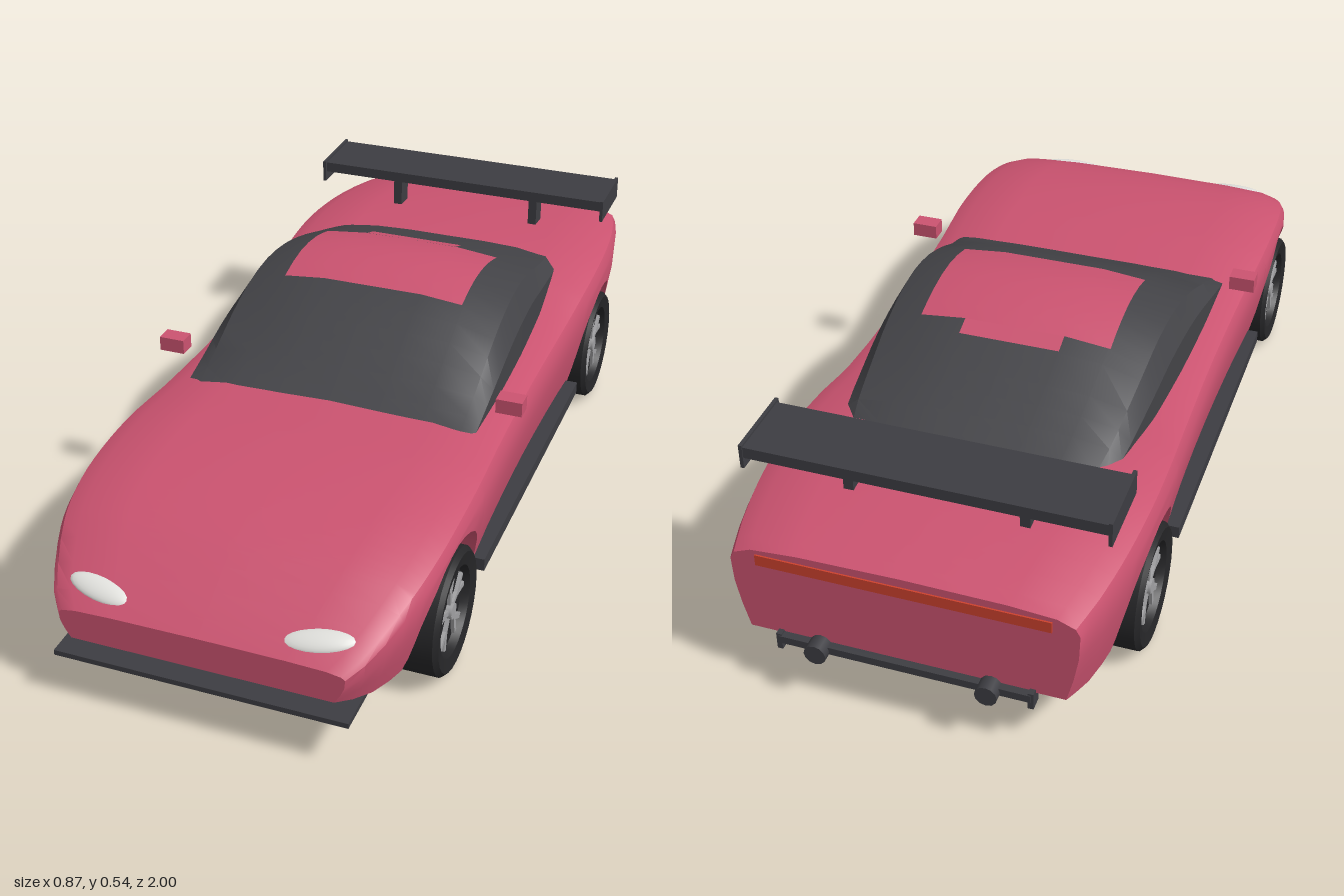
import * as THREE from 'three';
import { toCreasedNormals } from 'three/addons/utils/BufferGeometryUtils.js';

const mat = (name, color) => Object.assign(new THREE.MeshStandardMaterial({ color }), { name });

// Skin over rows of [x, y, z] points running front to back; closed rows get end caps.
function loft(rows, closed, crease) {
  const n = rows[0].length, pos = rows.flat(2), idx = [];
  const last = (rows.length - 1) * n;
  for (let i = 0; i < rows.length - 1; i++) {
    for (let j = 0; j < (closed ? n : n - 1); j++) {
      const k = (j + 1) % n, a = i * n + j, b = i * n + k, c = a + n, d = b + n;
      idx.push(a, c, d, a, d, b);
    }
  }
  if (closed) {
    for (let j = 1; j < n - 1; j++) {
      idx.push(0, j, j + 1, last, last + j + 1, last + j);
    }
  }
  const g = new THREE.BufferGeometry();
  g.setAttribute('position', new THREE.Float32BufferAttribute(pos, 3));
  g.setIndex(idx);
  g.scale(100, 100, 100); // keeps close vertices apart while normals are welded
  const out = toCreasedNormals(g, crease);
  out.scale(0.01, 0.01, 0.01);
  return out;
}

// Full ring from a half outline that starts at bottom centre and ends at top centre.
const ring = (half, z) => [
  ...half.map(([x, y]) => [x, y, z]),
  ...half.slice(1, -1).reverse().map(([x, y]) => [-x, y, z]),
];

// Smooth lookup through rows of [z, values...].
function track(table) {
  const size = table[0].length - 1;
  const spline = new THREE.CubicInterpolant(table.map((r) => -r[0]), table.flatMap((r) => r.slice(1)), size);
  return (z) => Array.from(spline.evaluate(-z));
}

function lerpTable(table, t) {
  for (let i = 1; i < table.length; i++) {
    const [t0, v0] = table[i - 1], [t1, v1] = table[i];
    if (t <= t1) return v0 + (v1 - v0) * (t - t0) / (t1 - t0);
  }
  return table[table.length - 1][1];
}

const WHEEL_Z = [0.625, -0.59];

// z, top height, half width, bottom height
const bodyAt = track([
  [0.985, 0.225, 0.31, 0.15], [0.95, 0.25, 0.338, 0.138], [0.9, 0.28, 0.362, 0.122],
  [0.8, 0.33, 0.397, 0.115], [0.7, 0.358, 0.414, 0.112], [0.6, 0.372, 0.42, 0.11],
  [0.45, 0.378, 0.42, 0.11], [0.3, 0.371, 0.412, 0.11], [0, 0.366, 0.405, 0.11],
  [-0.3, 0.372, 0.41, 0.11], [-0.45, 0.393, 0.418, 0.11], [-0.6, 0.404, 0.42, 0.11],
  [-0.75, 0.398, 0.41, 0.115], [-0.88, 0.384, 0.39, 0.125], [-0.965, 0.37, 0.368, 0.15],
]);
// height fraction, width fraction
const bodySide = [[0, 0.92], [0.3, 0.965], [0.65, 1], [0.8, 0.995], [0.88, 0.97], [0.95, 0.87], [0.985, 0.6], [1, 0]];

function bodyGeometry() {
  const stations = [0.985, 0.95, 0.9, 0.85, 0.37, 0.3, 0.2, 0.1, 0, -0.1, -0.2, -0.3, -0.36,
    -0.82, -0.88, -0.93, -0.965].map((z) => [z, bodyAt(z)[2]]);
  // wheel arches cut right through the underside
  for (const c of WHEEL_Z) {
    for (const s of [1, -1]) stations.push([c + s * 0.188, bodyAt(c + s * 0.188)[2]]);
    for (let i = 0; i <= 14; i++) {
      const a = Math.PI * i / 14;
      stations.push([c + 0.176 * Math.cos(a), 0.14 + 0.17 * Math.sin(a)]);
    }
  }
  stations.sort((p, q) => q[0] - p[0]);
  return loft(stations.map(([z, low]) => {
    const [top, w, base] = bodyAt(z), h = top - base, shoulder = base + 0.8 * h;
    const half = [[0, low]];
    for (const s of [0, 0.33, 0.66]) {
      const y = low + (shoulder - low) * s;
      half.push([w * lerpTable(bodySide, (y - base) / h), y]);
    }
    for (const [t, x] of bodySide.slice(3)) half.push([w * x, base + t * h]);
    return ring(half, z);
  }), true, 0.6);
}

// z, roof height, half width
const cabinAt = track([
  [0.3, 0.36, 0.345], [0.2, 0.415, 0.345], [0.1, 0.474, 0.345], [0, 0.519, 0.343], [-0.1, 0.54, 0.34],
  [-0.2, 0.534, 0.335], [-0.3, 0.506, 0.33], [-0.4, 0.467, 0.322], [-0.5, 0.428, 0.312], [-0.565, 0.402, 0.3],
]);
const cabinSide = [[1, 0], [1, 0.5], [0.91, 0.78], [0.65, 0.94], [0.35, 1], [0, 1]];
const CABIN_BASE = 0.345;

function cabinGeometry() {
  const zs = [0.3, 0.25, 0.2, 0.15, 0.1, 0.05, 0, -0.05, -0.1, -0.15, -0.2, -0.24, -0.28, -0.32, -0.4, -0.45, -0.5, -0.565];
  return loft(zs.map((z) => {
    const [top, w] = cabinAt(z);
    return ring([[0, CABIN_BASE], ...cabinSide.map(([x, t]) => [w * x, CABIN_BASE + t * (top - CABIN_BASE)])], z);
  }), true, 0.5);
}

// Thin sheet lying just above the cabin roof.
function roofSheet(xs, zs) {
  const crown = cabinSide.slice().reverse();
  return loft(zs.map((z) => {
    const [top, w] = cabinAt(z);
    return xs.map((x) => [x, CABIN_BASE + (top - CABIN_BASE) * lerpTable(crown, Math.abs(x) / w) + 0.004, z]);
  }), false, 0.8);
}

export function createModel() {
  const paint = mat('rosePaint', 0xcb5370);
  const glass = mat('darkGlass', 0x434347);
  const trim = mat('darkTrim', 0x3d3d42);
  const rubber = mat('tyreRubber', 0x262628);
  const metal = mat('rimMetal', 0xa0a0a2);
  const lampWhite = mat('headlightWhite', 0xe2e2de);
  const lampRed = mat('tailLightRed', 0xcc412e);

  const car = new THREE.Group();
  car.name = 'sportsCar';
  const add = (name, geo, material, x = 0, y = 0, z = 0, parent = car) => {
    const m = new THREE.Mesh(geo, material);
    m.name = name;
    m.position.set(x, y, z);
    parent.add(m);
    return m;
  };
  const box = (name, material, w, h, d, x, y, z) => add(name, new THREE.BoxGeometry(w, h, d), material, x, y, z);

  add('body', bodyGeometry(), paint);
  add('cabin', cabinGeometry(), glass);
  add('roofPanel', roofSheet([0.22, 0.12, 0, -0.12, -0.22], [0, -0.05, -0.1, -0.15, -0.2, -0.24, -0.28]), paint);
  add('roofPanelTab', roofSheet([0.115, 0, -0.115], [-0.28, -0.32]), paint);

  // bumpers, lights and rear wing
  box('frontSplitter', trim, 0.64, 0.012, 0.2, 0, 0.113, 0.9);
  box('rearBar', trim, 0.54, 0.018, 0.03, 0, 0.145, -0.967);
  box('tailLightStrip', lampRed, 0.62, 0.026, 0.035, 0, 0.337, -0.951);
  box('wingBlade', trim, 0.77, 0.026, 0.16, 0, 0.494, -0.76);

  for (const s of [1, -1]) {
    box('wingEndPlate', trim, 0.008, 0.056, 0.17, s * 0.386, 0.484, -0.757);
    box('wingStrut', trim, 0.022, 0.1, 0.05, s * 0.19, 0.437, -0.745);
    box('sideSkirt', trim, 0.045, 0.03, 0.81, s * 0.394, 0.12, 0.02);
    box('mirror', paint, 0.06, 0.034, 0.04, s * 0.406, 0.413, 0.222);
    box('rearBarEnd', trim, 0.012, 0.04, 0.03, s * 0.27, 0.138, -0.965);
    const pipe = add('exhaustPipe', new THREE.CylinderGeometry(0.024, 0.024, 0.06, 12), trim, s * 0.183, 0.143, -0.97);
    pipe.rotation.x = Math.PI / 2;
    const lamp = add('headlight', new THREE.SphereGeometry(1, 20, 12), lampWhite, s * 0.235, 0.249, 0.936);
    lamp.scale.set(0.076, 0.013, 0.027);
    lamp.rotation.set(0.5, s * 0.2, 0);
  }

  // wheels
  const tyre = new THREE.LatheGeometry([
    [0, -0.05], [0.1, -0.05], [0.13, -0.055], [0.14, -0.045], [0.14, 0.045],
    [0.13, 0.055], [0.1, 0.05], [0.094, 0.032], [0, 0.032],
  ].map(([r, h]) => new THREE.Vector2(r, h)), 28);
  tyre.rotateZ(-Math.PI / 2);
  const tyreGeo = toCreasedNormals(tyre.scale(100, 100, 100), 0.6).scale(0.01, 0.01, 0.01);
  const spokeShape = new THREE.Shape([
    [-0.005, 0.012], [0.005, 0.012], [0.006, 0.045], [0.024, 0.084], [0.012, 0.087], [0, 0.06],
    [-0.012, 0.087], [-0.024, 0.084], [-0.006, 0.045],
  ].map(([x, y]) => new THREE.Vector2(x, y)));
  const spokeGeo = new THREE.ExtrudeGeometry(spokeShape, { depth: 0.01, bevelEnabled: false });
  spokeGeo.rotateY(Math.PI / 2);
  const hubGeo = new THREE.CylinderGeometry(0.018, 0.018, 0.016, 12).rotateZ(Math.PI / 2);
  for (const z of WHEEL_Z) {
    for (const s of [1, -1]) {
      const wheel = new THREE.Group();
      wheel.name = z > 0 ? 'frontWheel' : 'rearWheel';
      wheel.position.set(s * 0.365, 0.14, z);
      if (s < 0) wheel.rotation.y = Math.PI;
      car.add(wheel);
      add('tyre', tyreGeo, rubber, 0, 0, 0, wheel);
      add('hub', hubGeo, metal, 0.038, 0, 0, wheel);
      for (let i = 0; i < 5; i++) {
        add('spoke', spokeGeo, metal, 0.03, 0, 0, wheel).rotation.x = i * Math.PI * 0.4;
      }
    }
  }
  return car;
}
